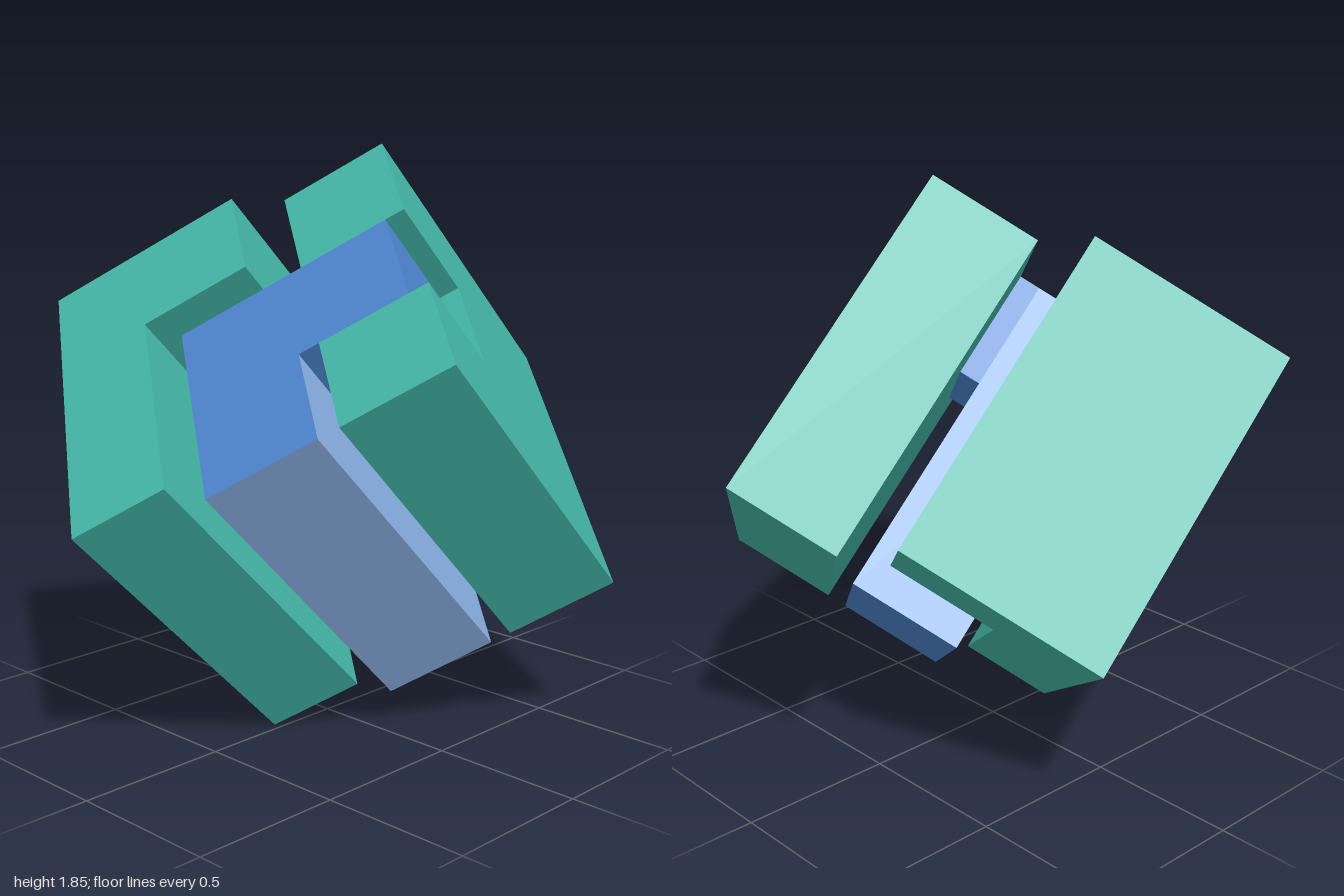
import * as THREE from 'three';

const U = 0.369;   // one puzzle cell
const L = 3 * U;   // edge of the whole cube
const DROP = -0.106; // offset of the shifted pieces along the cube's long axis

function material(name, color) {
  const m = new THREE.MeshStandardMaterial({ color });
  m.name = name;
  return m;
}

function prism(points, depth) {
  const shape = new THREE.Shape(points.map(([x, y]) => new THREE.Vector2(x, y)));
  return new THREE.ExtrudeGeometry(shape, { depth, bevelEnabled: false });
}

export function createModel() {
  const teal = material('teal', 0x43b5a6);
  const blue = material('blue', 0x4d84cc);
  const paleBlue = material('paleBlue', 0x88aee0);

  const puzzle = new THREE.Group();
  puzzle.name = 'interlockingCube';
  const add = (name, geometry, mat) => {
    const mesh = new THREE.Mesh(geometry, mat);
    mesh.name = name;
    puzzle.add(mesh);
    return mesh;
  };

  // L-shaped piece, extruded along the cube's third axis
  const a = 0.313, b = a + U;
  add('cornerPiece', prism([[0, 0], [a, 0], [a, 2 * U], [b, 2 * U], [b, L], [0, L]], L), teal);

  // Slab with a square notch in the middle of its top edge
  const top = DROP + L, notch = top - U;
  const slab = prism([
    [0, DROP], [L, DROP], [L, top], [2 * U, top],
    [2 * U, notch], [U, notch], [U, top], [0, top],
  ], 0.365);
  // Cycle the axes so the slab's thickness runs along x
  slab.applyMatrix4(new THREE.Matrix4().makeBasis(
    new THREE.Vector3(0, 1, 0), new THREE.Vector3(0, 0, 1), new THREE.Vector3(1, 0, 0)));
  slab.translate(0.818, 0, 0);
  add('notchedSlab', slab, teal);

  // Core bar: pale sides, blue ends
  const c = 0.38;
  const bar = new THREE.BoxGeometry(U, 2 * U, L);
  bar.translate(c + U / 2, U, DROP + L / 2);
  add('coreBar', bar, [paleBlue, paleBlue, paleBlue, paleBlue, blue, blue]);

  // Key block that reaches into the notch
  const key = new THREE.BoxGeometry(U, U, U);
  key.translate(c + 1.5 * U, 1.5 * U, top - U / 2);
  add('coreKey', key, blue);

  // Tilt the cube to stand on its corner
  const s = Math.SQRT1_2;
  puzzle.quaternion.setFromRotationMatrix(new THREE.Matrix4().makeBasis(
    new THREE.Vector3(s, 0.5, -0.5), new THREE.Vector3(-s, 0.5, -0.5), new THREE.Vector3(0, s, s)));
  puzzle.position.set(-0.026, 0, 0.219);

  const model = new THREE.Group();
  model.name = 'tiltedPuzzle';
  model.add(puzzle);
  return model;
}
